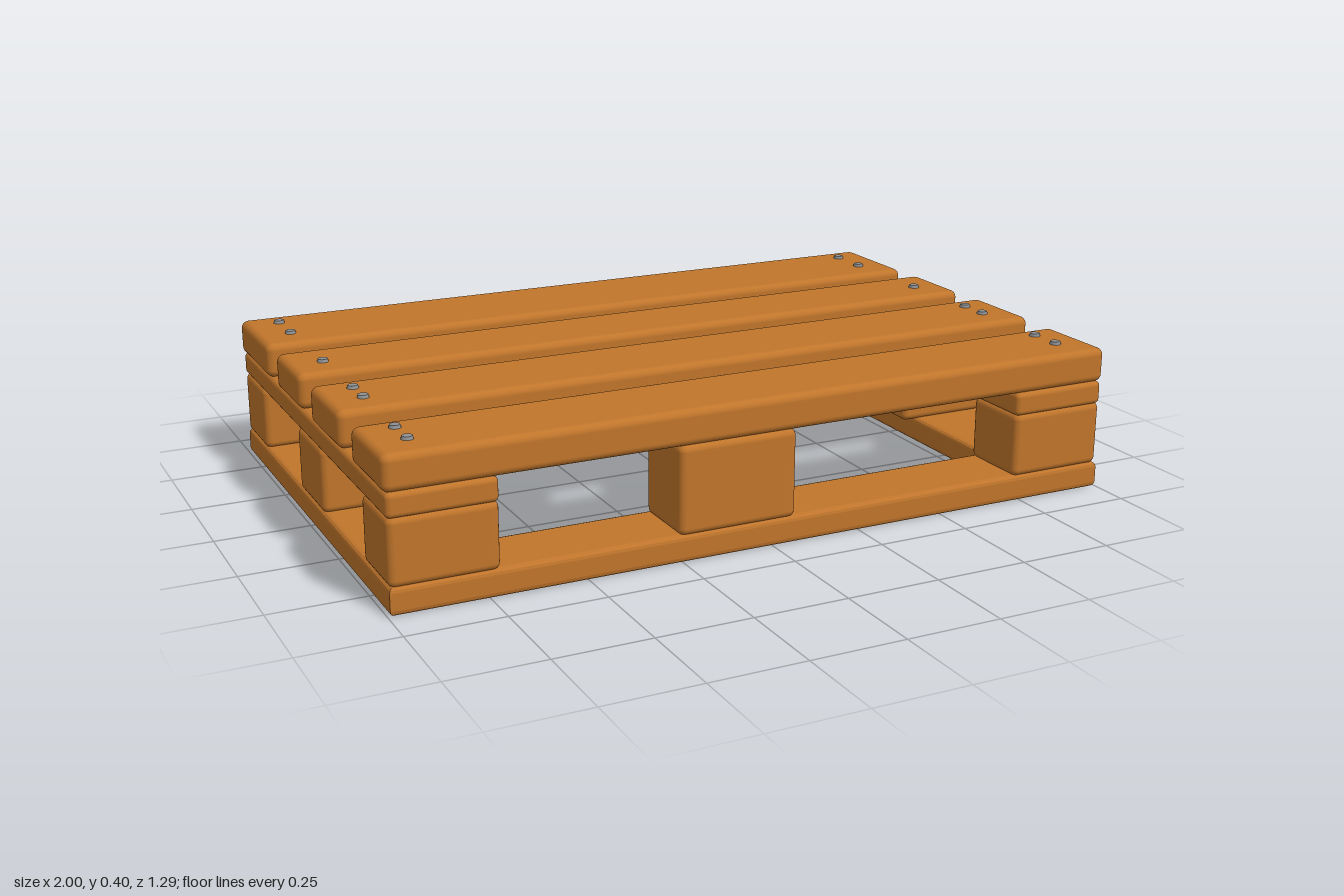
import * as THREE from 'three';
import { RoundedBoxGeometry } from 'three/addons/geometries/RoundedBoxGeometry.js';

export function createModel() {
  const model = new THREE.Group();
  model.name = 'pallet';
  const wood = new THREE.MeshStandardMaterial({ name: 'wood', color: 0xc0752b });
  const steel = new THREE.MeshStandardMaterial({ name: 'nail steel', color: 0x8e9092 });

  const add = (name, geometry, material) => {
    const mesh = new THREE.Mesh(geometry, material);
    mesh.name = name;
    model.add(mesh);
    return mesh;
  };
  // Softened timber given by its extents on each axis
  const timber = (name, [x0, x1], [y0, y1], [z0, z1], r = 0.014) =>
    add(name, new RoundedBoxGeometry(x1 - x0, y1 - y0, z1 - z0, 3, r), wood)
      .position.set((x0 + x1) / 2, (y0 + y1) / 2, (z0 + z1) / 2);

  // Base frame: one ring with rounded edges
  const bevel = 0.014;
  const rectangle = (PathType, w, d) => new PathType([
    [-w, -d], [w, -d], [w, d], [-w, d],
  ].map(([x, y]) => new THREE.Vector2(x, y)));
  const ring = rectangle(THREE.Shape, 0.995 - bevel, 0.643 - bevel);
  ring.holes.push(rectangle(THREE.Path, 0.765 + bevel, 0.445 + bevel));
  const frame = new THREE.ExtrudeGeometry(ring, {
    depth: 0.072 - 2 * bevel, bevelEnabled: true, bevelSize: bevel, bevelThickness: bevel, bevelSegments: 3,
  });
  frame.rotateX(-Math.PI / 2).translate(0, bevel, 0);
  add('baseFrame', frame, wood);

  // Spacer blocks: corners, sides, then front and back centres
  for (const s of [-1, 1]) {
    const xs = s < 0 ? [-0.995, -0.722] : [0.722, 0.995];
    timber('frontCornerBlock', xs, [0.068, 0.24], [0.45, 0.643], 0.018);
    timber('sideBlock', xs, [0.068, 0.24], [-0.1, 0.115], 0.018);
    timber('backCornerBlock', xs, [0.068, 0.24], [-0.643, -0.445], 0.018);
    timber('endRail', xs, [0.236, 0.299], [-0.643, 0.643]);
    timber('endSlat', s < 0 ? [-0.932, -0.73] : [0.73, 0.932], [0.29, 0.35], [-0.6, 0.6], 0.01);
  }
  timber('frontCentreBlock', [-0.26, 0.063], [0.068, 0.3], [0.45, 0.643], 0.018);
  timber('backCentreBlock', [-0.26, 0.063], [0.068, 0.3], [-0.643, -0.445], 0.018);

  // Inner slats tying the deck boards together
  for (const xs of [[-0.56, -0.29], [-0.13, 0.16]])
    timber('innerSlat', xs, [0.292, 0.35], [-0.6, 0.6], 0.01);

  // Deck boards with their nail rows
  const boards = [
    { z: [-0.645, -0.352], top: 0.39, nails: [-0.57, -0.45] },
    { z: [-0.263, -0.04], top: 0.392, nails: [-0.135] },
    { z: [0.062, 0.305], top: 0.394, nails: [0.13, 0.215] },
    { z: [0.402, 0.643], top: 0.39, nails: [0.46, 0.55] },
  ];
  const nailHead = new THREE.CylinderGeometry(0.013, 0.018, 0.016, 12);
  for (const { z, top, nails } of boards) {
    timber('deckBoard', [-1, 1], [0.297, top], z, 0.02);
    for (const nz of nails)
      for (const x of [-0.908, 0.905])
        add('nailHead', nailHead, steel).position.set(x, top, nz);
  }
  return model;
}
